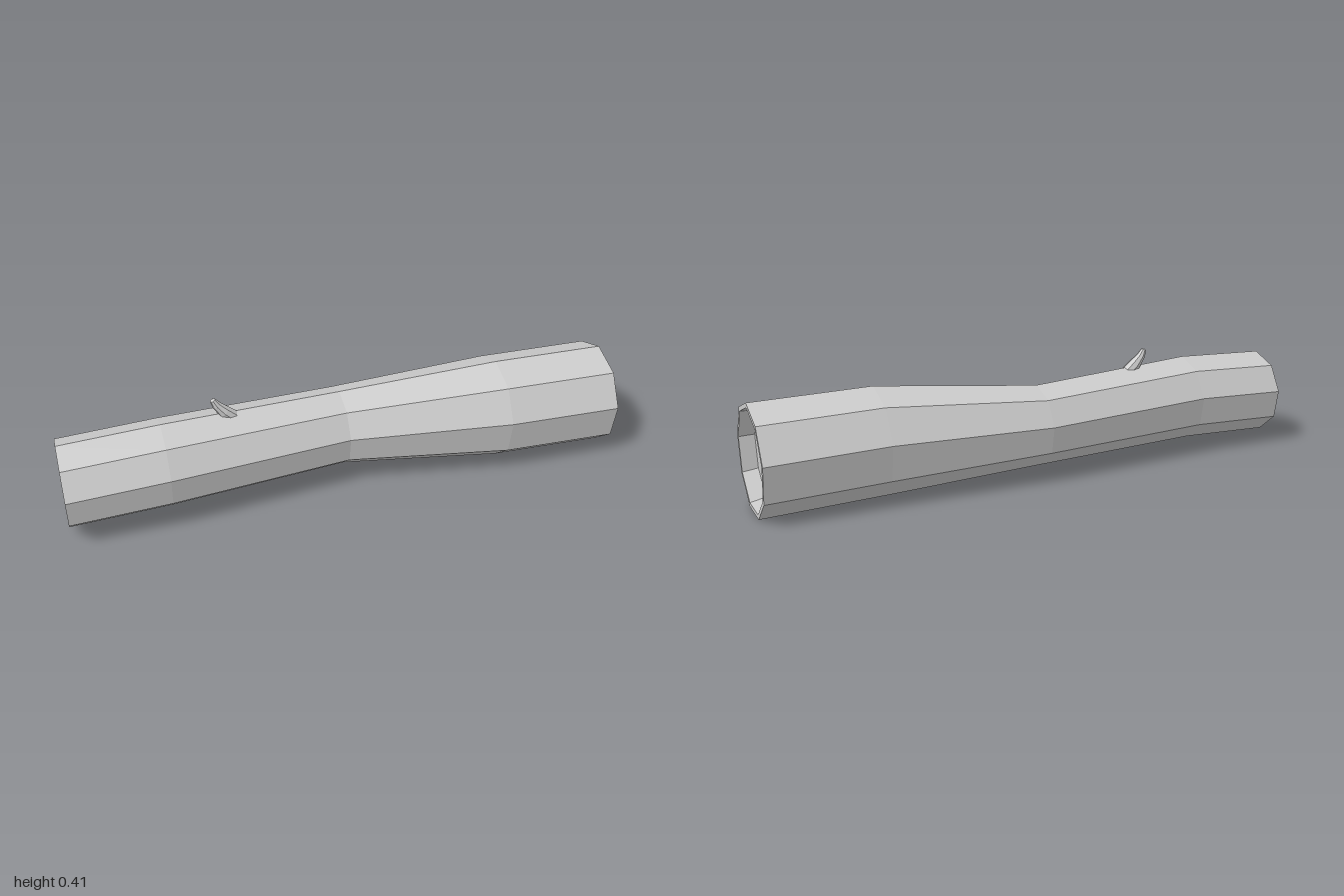
import * as THREE from 'three';

// Skins a row of sections [x, y, z, radius, tilt] with flat-shaded sides.
// Every ring spans the z axis and an axis in the xy plane turned by tilt.
function loft(sections, sides) {
  const point = ([x, y, z, r, tilt = 0], j) => {
    const a = (j / sides) * Math.PI * 2;
    const c = r * Math.cos(a);
    return [x - c * Math.sin(tilt), y + c * Math.cos(tilt), z + r * Math.sin(a)];
  };
  const positions = [];
  for (let i = 0; i < sections.length - 1; i++) {
    const s = sections[i], t = sections[i + 1];
    for (let j = 0; j < sides; j++) {
      const a = point(s, j), b = point(s, j + 1), c = point(t, j + 1), d = point(t, j);
      if (s[3] > 0) positions.push(...a, ...b, ...c);
      if (t[3] > 0) positions.push(...a, ...c, ...d);
    }
  }
  const geometry = new THREE.BufferGeometry();
  geometry.setAttribute('position', new THREE.Float32BufferAttribute(positions, 3));
  geometry.computeVertexNormals();
  return geometry;
}

export function createModel() {
  const group = new THREE.Group();
  group.name = 'log';
  const material = new THREE.MeshStandardMaterial({ color: 0xcccccc, flatShading: true });

  const add = (name, geometry) => {
    const mesh = new THREE.Mesh(geometry, material);
    mesh.name = name;
    group.add(mesh);
  };

  // Crooked trunk, with a thin rim and a shallow recess at both ends
  add('trunk', loft([
    [-0.945, 0.185, 0, 0],
    [-0.945, 0.185, 0, 0.138],
    [-1, 0.184, 0, 0.143],
    [-1, 0.184, 0, 0.156],
    [-0.65, 0.198, 0, 0.157],
    [0, 0.186, -0.055, 0.144],
    [0.58, 0.192, 0, 0.19],
    [1, 0.182, 0.003, 0.193],
    [1, 0.182, 0.003, 0.177],
    [0.945, 0.184, 0.012, 0.17],
    [0.945, 0.184, 0.012, 0],
  ], 9));

  // Small curved twig stub on the top ridge
  add('twig', loft([
    [-0.395, 0.325, -0.02, 0, 2.5],
    [-0.395, 0.325, -0.02, 0.025, 2.5],
    [-0.425, 0.352, -0.02, 0.023, 2.4],
    [-0.45, 0.382, -0.021, 0.016, 2.1],
    [-0.462, 0.404, -0.021, 0.01, 2.0],
    [-0.464, 0.41, -0.021, 0, 2.0],
  ], 8));

  return group;
}
